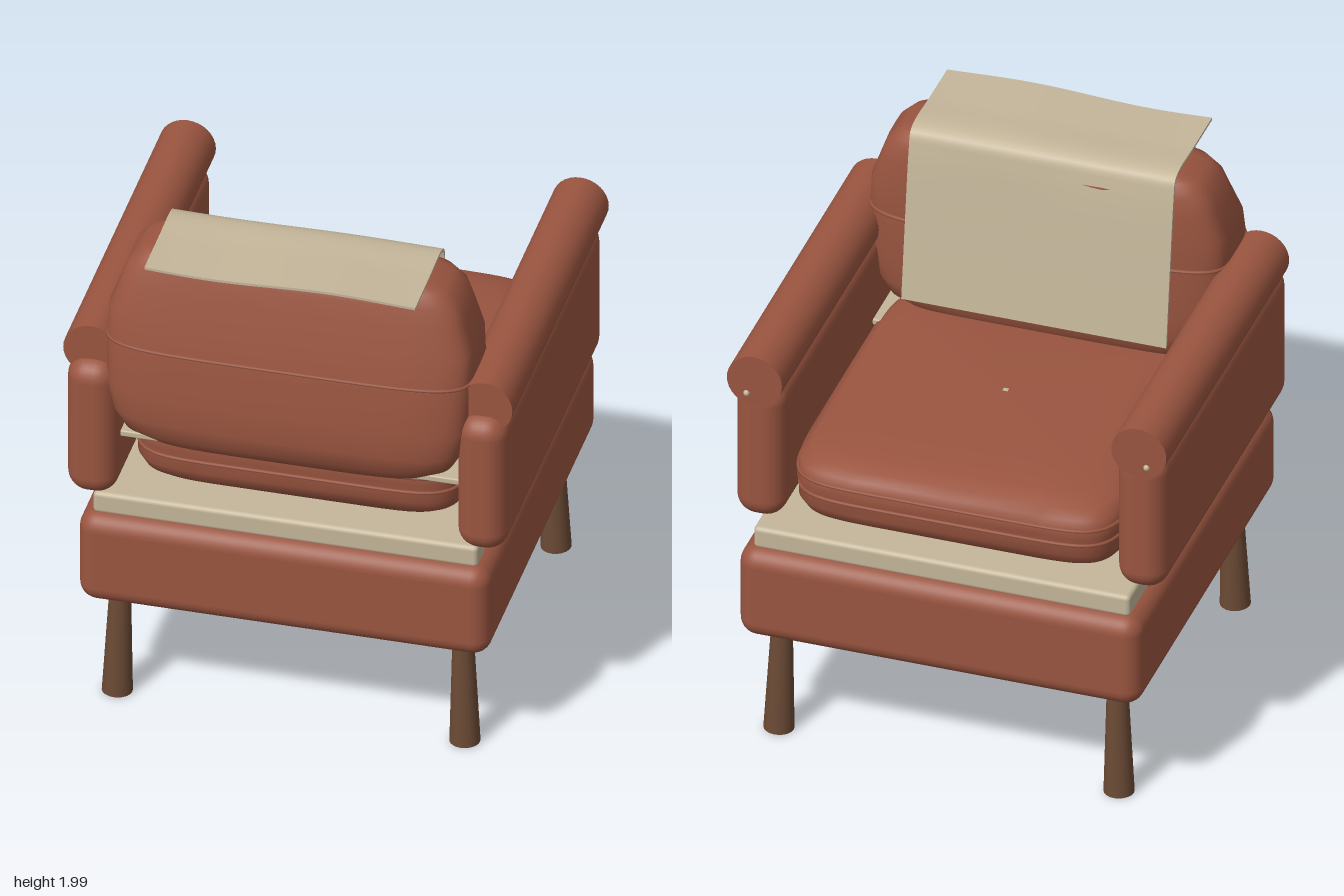
import * as THREE from 'three';
import { RoundedBoxGeometry } from 'three/addons/geometries/RoundedBoxGeometry.js';

const leather = new THREE.MeshStandardMaterial({ color: 0x9a5540 });
const linen = new THREE.MeshStandardMaterial({ color: 0xc4b69a });
const wood = new THREE.MeshStandardMaterial({ color: 0x6b4a35 });

function add(parent, name, geometry, material, x = 0, y = 0, z = 0) {
  const mesh = new THREE.Mesh(geometry, material);
  mesh.name = name;
  mesh.position.set(x, y, z);
  parent.add(mesh);
  return mesh;
}

// Rounded box given by its limits on each axis
function block(parent, name, material, [x0, x1], [y0, y1], [z0, z1], radius) {
  const geometry = new RoundedBoxGeometry(x1 - x0, y1 - y0, z1 - z0, 4, radius);
  return add(parent, name, geometry, material, (x0 + x1) / 2, (y0 + y1) / 2, (z0 + z1) / 2);
}

// Superellipse outline of one level: [y, half width, z back, z front]
function outline([y, hx, zb, zf], power, count = 72) {
  const bend = v => Math.sign(v) * Math.pow(Math.abs(v), 2 / power);
  return Array.from({ length: count }, (_, i) => {
    const t = (i / count) * Math.PI * 2;
    return new THREE.Vector3(hx * bend(Math.cos(t)), y, (zb + zf) / 2 + (zb - zf) / 2 * bend(Math.sin(t)));
  });
}

// Stuffed cushion lofted through stacked outlines, closed at both ends
function cushionGeometry(rows, power) {
  const count = 72, positions = [], index = [];
  for (const row of rows) for (const p of outline(row, power, count)) positions.push(p.x, p.y, p.z);
  for (let i = 0; i < rows.length - 1; i++) {
    for (let j = 0; j < count; j++) {
      const a = i * count + j, b = i * count + (j + 1) % count;
      index.push(a, a + count, b, b, a + count, b + count);
    }
  }
  const geometry = new THREE.BufferGeometry();
  geometry.setAttribute('position', new THREE.Float32BufferAttribute(positions, 3));
  geometry.setIndex(index);
  geometry.computeVertexNormals();
  return geometry;
}

// Piping that follows a cushion outline
function piping(parent, name, row, power) {
  const curve = new THREE.CatmullRomCurve3(outline(row, power), true, 'centripetal');
  add(parent, name, new THREE.TubeGeometry(curve, 160, 0.007, 6, true), leather);
}

export function createModel() {
  const model = new THREE.Group();
  model.name = 'armchair';

  // Tapered, slightly splayed legs
  for (const side of [-1, 1]) {
    for (const [end, z] of [[1, 0.637], [-1, -0.667]]) {
      const leg = add(model, 'leg', new THREE.CylinderGeometry(0.038, 0.057, 0.48, 20), wood, side * 0.65, 0.24, z);
      leg.rotation.set(-end * 0.02, 0, side * 0.02);
    }
  }

  // Upholstered base and the linen deck on it
  block(model, 'base', leather, [-0.775, 0.775], [0.45, 0.83], [-0.81, 0.78], 0.07);
  block(model, 'deck', linen, [-0.725, 0.725], [0.82, 0.91], [-0.76, 0.73], 0.018);

  // Seat cushion with piping
  const seat = new THREE.Group();
  seat.name = 'seatCushion';
  model.add(seat);
  add(seat, 'seatPadding', cushionGeometry([
    [0.905, 0.02, 0.02, -0.02], [0.905, 0.57, 0.56, -0.61], [0.94, 0.61, 0.6, -0.66],
    [0.99, 0.63, 0.625, -0.69], [1.035, 0.625, 0.62, -0.685], [1.07, 0.635, 0.63, -0.7],
    [1.1, 0.63, 0.625, -0.69], [1.14, 0.625, 0.62, -0.685], [1.165, 0.59, 0.58, -0.65],
    [1.185, 0.52, 0.51, -0.57], [1.2, 0.38, 0.36, -0.42], [1.21, 0.01, -0.02, -0.04],
  ], 8), leather);
  piping(seat, 'lowerPiping', [1.035, 0.628, 0.623, -0.688], 8);
  piping(seat, 'upperPiping', [1.1, 0.632, 0.627, -0.692], 8);

  // Thin linen support under the back cushion
  block(model, 'backSupport', linen, [-0.64, 0.64], [1.125, 1.15], [0.34, 0.66], 0.006);

  // Back cushion with a seam around its middle
  const back = new THREE.Group();
  back.name = 'backCushion';
  model.add(back);
  add(back, 'backPadding', cushionGeometry([
    [1.135, 0.01, 0.59, 0.57], [1.14, 0.4, 0.68, 0.45], [1.165, 0.53, 0.74, 0.41],
    [1.22, 0.62, 0.785, 0.375], [1.29, 0.66, 0.8, 0.36], [1.4, 0.685, 0.8, 0.355],
    [1.57, 0.69, 0.78, 0.353], [1.59, 0.685, 0.774, 0.357], [1.61, 0.69, 0.772, 0.353],
    [1.71, 0.685, 0.75, 0.355], [1.82, 0.645, 0.72, 0.357], [1.89, 0.62, 0.7, 0.367],
    [1.94, 0.57, 0.68, 0.385], [1.968, 0.48, 0.64, 0.41], [1.98, 0.3, 0.58, 0.45],
    [1.984, 0.01, 0.53, 0.51],
  ], 5), leather);
  piping(back, 'backSeam', [1.59, 0.688, 0.777, 0.354], 5);

  // Arms: padded panel, roll on top, small end button
  for (const side of [-1, 1]) {
    const arm = new THREE.Group();
    arm.name = side > 0 ? 'leftArm' : 'rightArm';
    model.add(arm);
    const xs = [side * 0.64, side * 0.83].sort((a, b) => a - b);
    block(arm, 'armPanel', leather, xs, [0.895, 1.47], [-0.695, 0.75], 0.08);
    const roll = add(arm, 'armRoll', new THREE.CylinderGeometry(0.106, 0.106, 1.39, 32), leather, side * 0.74, 1.505, -0.005);
    roll.rotation.x = Math.PI / 2;
    add(arm, 'armButton', new THREE.SphereGeometry(0.012, 12, 8), linen, side * 0.77, 1.45, -0.7);
  }

  // Linen throw: a thin sheet bent over the top of the back cushion
  const path = new THREE.CatmullRomCurve3([
    [0.805, 1.978], [0.6, 1.98], [0.43, 1.982], [0.39, 1.965], [0.375, 1.91], [0.33, 1.6], [0.29, 1.3],
  ].map(([z, y]) => new THREE.Vector3(0, y, z)), false, 'centripetal');
  const cloth = new THREE.BoxGeometry(1.02, 0.01, 1, 32, 1, 60);
  const pos = cloth.attributes.position;
  for (let i = 0; i < pos.count; i++) {
    const x = pos.getX(i), s = 0.5 - pos.getZ(i);
    const p = path.getPointAt(s), t = path.getTangentAt(s);
    const wave = 0.008 * Math.sin(x * 7 + 0.3) * Math.max(0, 1 - s * 1.8);
    const lift = pos.getY(i) + wave;
    pos.setXYZ(i, x, p.y - t.z * lift, p.z + t.y * lift);
  }
  cloth.computeVertexNormals();
  add(model, 'throwCloth', cloth, linen);

  return model;
}
